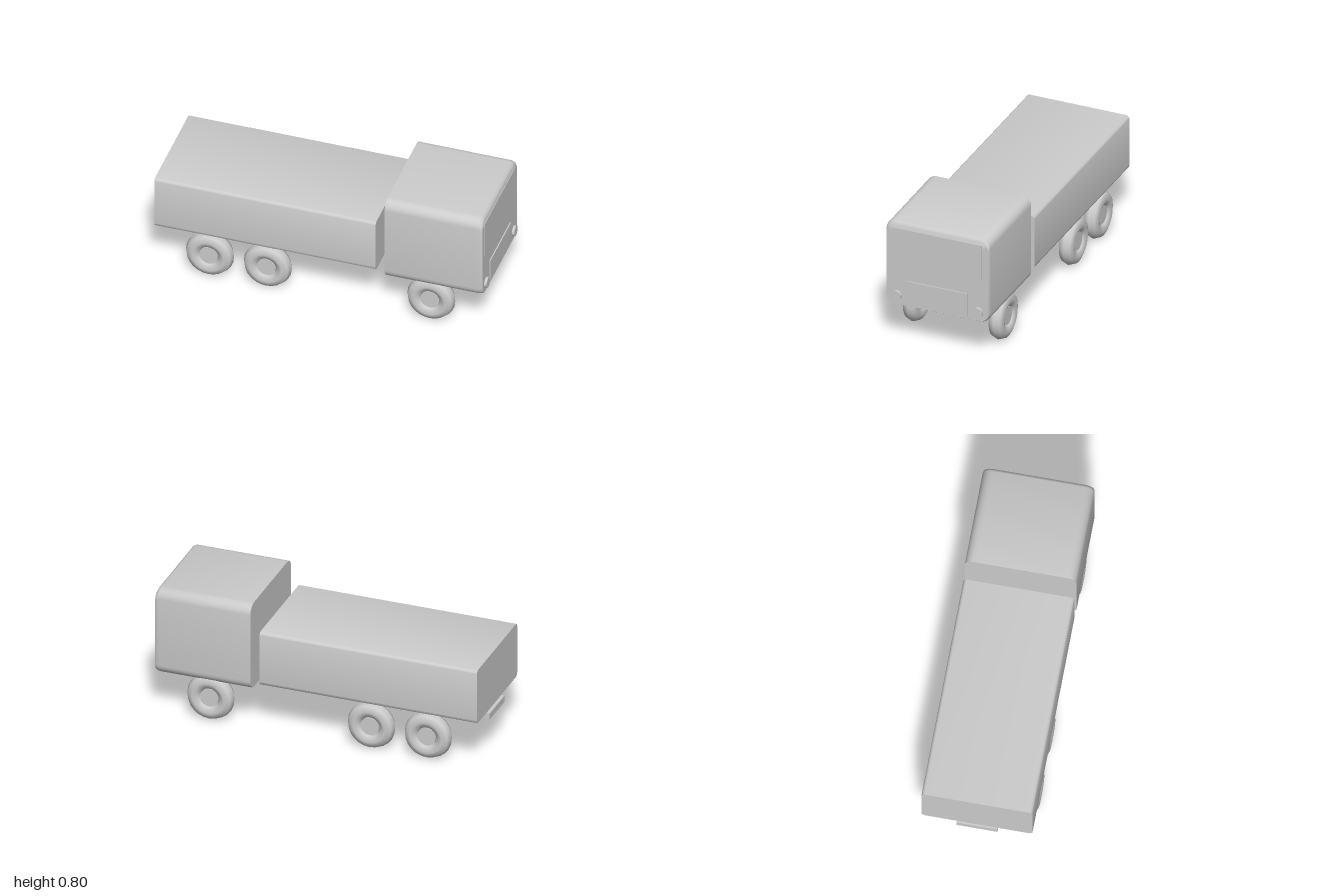
import * as THREE from 'three';
import { toCreasedNormals } from 'three/addons/utils/BufferGeometryUtils.js';

const material = new THREE.MeshStandardMaterial({ color: 0xcccccc });

function part(name, geometry, x = 0, y = 0, z = 0) {
  const mesh = new THREE.Mesh(geometry, material);
  mesh.name = name;
  mesh.position.set(x, y, z);
  return mesh;
}

// Rounded rectangle in the y-z plane, counter-clockwise seen from +x
function section({ x, hw, y0, y1, r }, steps = 6) {
  const points = [];
  const corners = [[hw - r, y1 - r], [-hw + r, y1 - r], [-hw + r, y0 + r], [hw - r, y0 + r]];
  corners.forEach(([u, v], c) => {
    for (let i = 0; i <= steps; i++) {
      const a = (c + i / steps) * Math.PI / 2;
      points.push([x, v + r * Math.sin(a), -(u + r * Math.cos(a))]);
    }
  });
  return points;
}

// Closed body running along x through a list of rounded sections
function loft(list) {
  const rings = list.map((s) => section(s));
  const n = rings[0].length, pos = [];
  const tri = (a, b, c) => pos.push(...a, ...b, ...c);
  for (let i = 0; i < rings.length - 1; i++) {
    for (let j = 0; j < n; j++) {
      const k = (j + 1) % n;
      const a = rings[i][j], b = rings[i][k], c = rings[i + 1][k], d = rings[i + 1][j];
      tri(a, b, c);
      tri(a, c, d);
    }
  }
  const centre = (s) => [s.x, (s.y0 + s.y1) / 2, 0];
  const last = rings.length - 1;
  for (let j = 0; j < n; j++) {
    const k = (j + 1) % n;
    tri(centre(list[0]), rings[0][k], rings[0][j]);
    tri(centre(list[last]), rings[last][j], rings[last][k]);
  }
  const geometry = new THREE.BufferGeometry();
  geometry.setAttribute('position', new THREE.Float32BufferAttribute(pos, 3));
  return toCreasedNormals(geometry, 0.6);
}

// Fat tyre with a plain hub filling its hole
function wheel(name, x, z) {
  const group = new THREE.Group();
  group.name = name;
  group.add(part('tyre', new THREE.TorusGeometry(0.097, 0.048, 8, 24)));
  group.add(part('hub', new THREE.CylinderGeometry(0.056, 0.056, 0.06, 24).rotateX(Math.PI / 2)));
  group.position.set(x, 0.148, z);
  return group;
}

export function createModel() {
  const truck = new THREE.Group();
  truck.name = 'truck';

  // Cab, softened only round its front face
  truck.add(part('cab', loft([
    { x: 0.395, hw: 0.327, y0: 0.256, y1: 0.805, r: 0.06 },
    { x: 0.962, hw: 0.327, y0: 0.256, y1: 0.803, r: 0.06 },
    { x: 0.977, hw: 0.325, y0: 0.259, y1: 0.795, r: 0.06 },
    { x: 0.985, hw: 0.321, y0: 0.264, y1: 0.78, r: 0.055 },
  ])));

  // Cargo body and chassis beam
  truck.add(part('cargoBox', loft([
    { x: -1, hw: 0.325, y0: 0.3, y1: 0.645, r: 0.025 },
    { x: 0.34, hw: 0.325, y0: 0.3, y1: 0.645, r: 0.025 },
  ])));
  truck.add(part('chassis', new THREE.BoxGeometry(1.395, 0.04, 0.24), -0.3025, 0.25, 0));

  // Front fittings
  truck.add(part('windshield', new THREE.BoxGeometry(0.02, 0.23, 0.56), 0.978, 0.645, 0));
  truck.add(part('grille', new THREE.BoxGeometry(0.02, 0.148, 0.378), 0.982, 0.355, 0));

  // Mirrored lamps and wheels
  for (const side of [1, -1]) {
    const label = side > 0 ? 'near' : 'far';
    const lamp = new THREE.CylinderGeometry(0.032, 0.032, 0.03, 24).rotateZ(Math.PI / 2);
    truck.add(part(label + 'Headlamp', lamp, 0.985, 0.322, side * 0.256));
    for (const [name, x] of [['RearWheel', -0.68], ['MiddleWheel', -0.33], ['FrontWheel', 0.66]]) {
      truck.add(wheel(label + name, x, side * 0.27));
    }
  }
  return truck;
}
